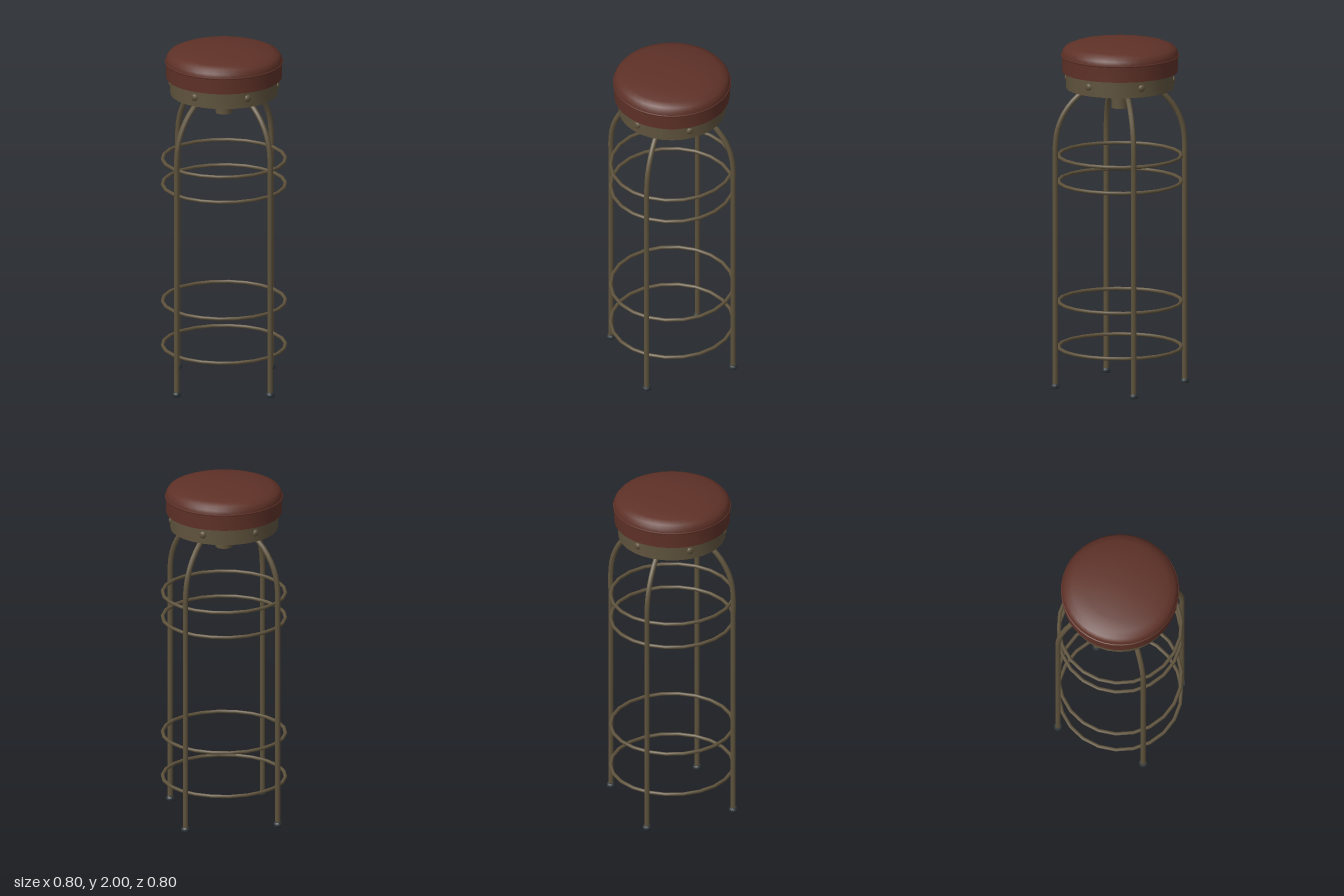
import * as THREE from 'three';
import { toCreasedNormals } from 'three/addons/utils/BufferGeometryUtils.js';

const leather = new THREE.MeshStandardMaterial({ color: 0x5e3127 });
leather.name = 'brown red leather';
const metal = new THREE.MeshStandardMaterial({ color: 0x5e523c });
metal.name = 'aged bronze metal';
const rubber = new THREE.MeshStandardMaterial({ color: 0x2c3438 });
rubber.name = 'dark rubber';

const LEG_X = 0.375;   // distance of each leg from the centre
const ARCH_Y = 1.4;    // height where the legs begin to bend inward

export function createModel() {
  const stool = new THREE.Group();
  stool.name = 'barStool';

  const add = (name, geometry, material, x = 0, y = 0, z = 0) => {
    const mesh = new THREE.Mesh(geometry, material);
    mesh.name = name;
    mesh.position.set(x, y, z);
    stool.add(mesh);
    return mesh;
  };
  const lathe = (profile, sides) => toCreasedNormals(
    new THREE.LatheGeometry(profile.map(([r, y]) => new THREE.Vector2(r, y)), sides), 0.7);

  // Padded seat: straight side below, domed top above
  add('cushion', lathe([
    [0, 1.82], [0.328, 1.82], [0.33, 1.9], [0.331, 1.915], [0.327, 1.938], [0.312, 1.958],
    [0.275, 1.973], [0.2, 1.987], [0.1, 1.997], [0, 2],
  ], 40), leather);

  // Piping around the seam
  const piping = add('piping', new THREE.TorusGeometry(0.33, 0.006, 6, 40), leather, 0, 1.912, 0);
  piping.rotation.x = Math.PI / 2;

  // Hollow metal band under the cushion
  add('seatBand', lathe([
    [0.293, 1.725], [0.305, 1.725], [0.305, 1.817], [0.293, 1.817], [0.293, 1.725],
  ], 32), metal);

  // Six domed rivets on the band
  for (let i = 0; i < 6; i++) {
    const a = THREE.MathUtils.degToRad(12 + i * 60);
    const rivet = add('rivet', new THREE.SphereGeometry(0.021, 10, 8), metal,
      0.303 * Math.sin(a), 1.778, 0.303 * Math.cos(a));
    rivet.rotation.y = a;
    rivet.scale.z = 0.6;
  }

  // Crossed support plates under the cushion
  for (const turn of [1, -1]) {
    const plate = add('supportPlate', new THREE.BoxGeometry(0.56, 0.012, 0.22), rubber,
      0, 1.806 + turn * 0.003, 0);
    plate.rotation.y = turn * Math.PI / 4;
  }

  // Central spindle housing
  add('spindle', new THREE.CylinderGeometry(0.049, 0.049, 0.19, 16), metal, 0, 1.705, 0);

  // Two crossing arches, each forming a pair of legs
  const path = [];
  for (const y of [0.015, 0.5, 1, 1.3]) path.push(new THREE.Vector3(-LEG_X, y, 0));
  for (let i = 0; i <= 12; i++) {
    const a = Math.PI * (1 - i / 12);
    path.push(new THREE.Vector3(LEG_X * Math.cos(a), ARCH_Y + LEG_X * Math.sin(a), 0));
  }
  for (const y of [1.3, 1, 0.5, 0.015]) path.push(new THREE.Vector3(LEG_X, y, 0));
  const arch = new THREE.TubeGeometry(new THREE.CatmullRomCurve3(path), 90, 0.0155, 8);
  add('legArch', arch, metal);
  add('legArch', arch, metal).rotation.y = Math.PI / 2;

  // Rubber feet
  for (let i = 0; i < 4; i++) {
    const a = i * Math.PI / 2;
    add('foot', lathe([[0, 0], [0.021, 0], [0.025, 0.006], [0.025, 0.016], [0.019, 0.026], [0, 0.026]], 12),
      rubber, LEG_X * Math.sin(a), 0, LEG_X * Math.cos(a));
  }

  // Horizontal rings tying the legs together
  for (const y of [0.225, 0.488, 1.183, 1.333]) {
    const ring = add('footRing', new THREE.TorusGeometry(0.349, 0.0105, 8, 22), metal, 0, y, 0);
    ring.rotation.x = Math.PI / 2;
  }

  return stool;
}
